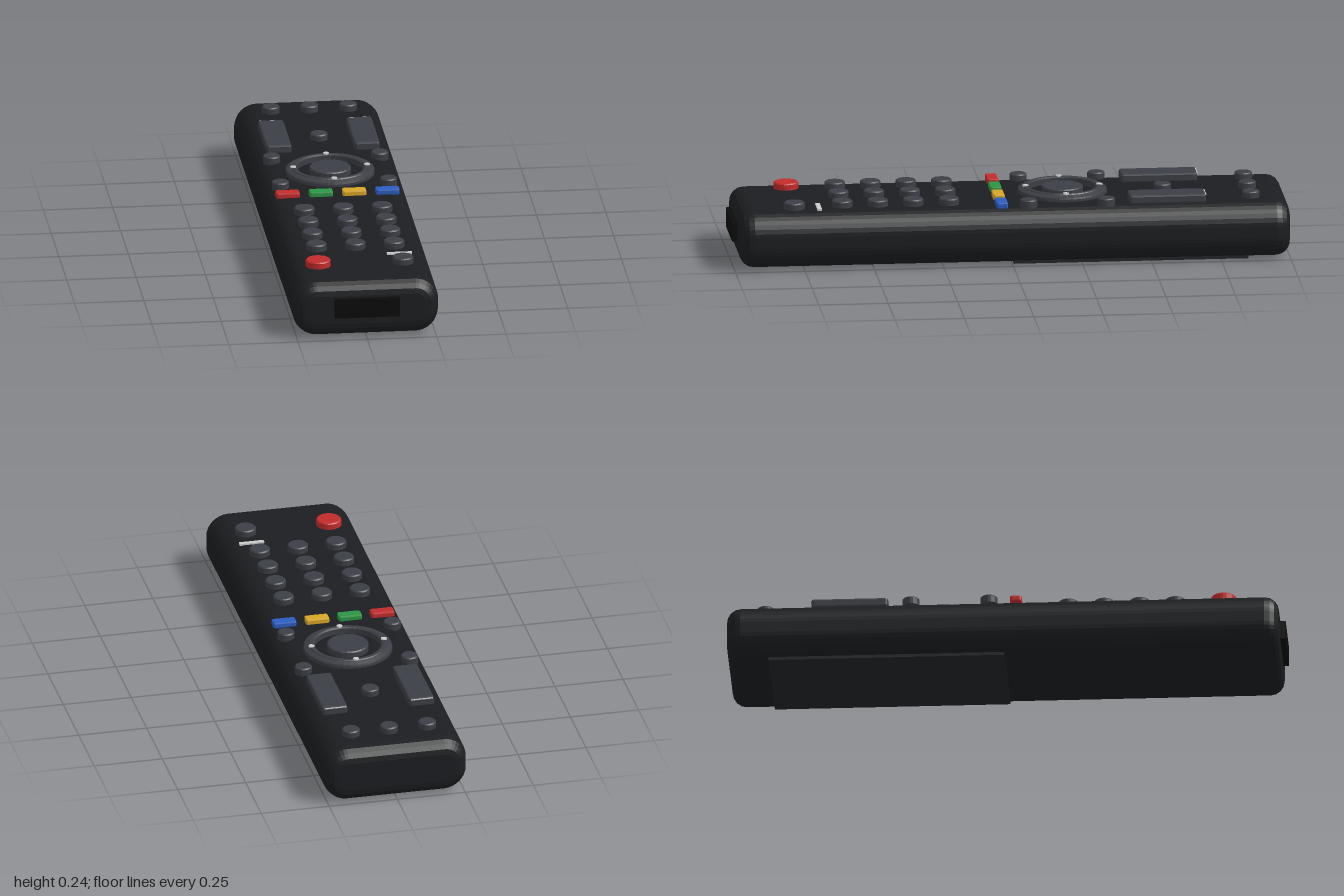
import * as THREE from 'three';

const mat = (color) => new THREE.MeshStandardMaterial({ color });
const BLACK = mat(0x1b1d20), GREY = mat(0x3b3e44), DARK = mat(0x0b0b0c), COVER = mat(0x222428);
const WHITE = mat(0xd0d0d0), RED = mat(0xc12b2b), GREEN = mat(0x2b9444), YELLOW = mat(0xd6a526), BLUE = mat(0x2a5cc0);
const DECK = 0.21; // height of the top face

function roundedRect(w, h, r) {
  const x = w / 2, y = h / 2, s = new THREE.Shape();
  s.absarc(x - r, y - r, r, 0, Math.PI / 2);
  s.absarc(-x + r, y - r, r, Math.PI / 2, Math.PI);
  s.absarc(-x + r, -y + r, r, Math.PI, Math.PI * 1.5);
  s.absarc(x - r, -y + r, r, Math.PI * 1.5, Math.PI * 2);
  return s;
}

export function createModel() {
  const group = new THREE.Group();
  const add = (name, geometry, material, x, y, z) => {
    const mesh = new THREE.Mesh(geometry, material);
    mesh.name = name;
    mesh.position.set(x, y, z);
    group.add(mesh);
    return mesh;
  };
  const box = (name, w, h, d, material, x, y, z) =>
    add(name, new THREE.BoxGeometry(w, h, d), material, x, y, z);

  // Round button with a small chamfer, sitting on the deck
  const button = (name, x, z, r, material = GREY, top = 0.234) => {
    const h = top - DECK + 0.005;
    const profile = [[0, 0], [r, 0], [r, h - 0.004], [r - 0.004, h], [0, h]].map((p) => new THREE.Vector2(...p));
    const geometry = new THREE.LatheGeometry(profile, 24).toNonIndexed();
    geometry.computeVertexNormals();
    add(name, geometry, material, x, DECK - 0.005, z);
  };

  // Bevelled rectangular key: flat outline extruded upwards
  const key = (name, x, z, w, d, top, material, bevel) => {
    const h = top - DECK + 0.004;
    const geometry = new THREE.ExtrudeGeometry(roundedRect(w - 2 * bevel, d - 2 * bevel, 0.004), {
      depth: h - 2 * bevel, bevelSize: bevel, bevelThickness: bevel, bevelSegments: 2, curveSegments: 2,
    });
    geometry.rotateX(-Math.PI / 2);
    add(name, geometry, material, x, DECK - 0.004 + bevel, z);
  };

  // Body: rounded cross-section run along z with rounded ends
  const b = 0.05;
  const body = new THREE.ExtrudeGeometry(roundedRect(0.524 - 2 * b, 0.205 - 2 * b, 0.035), {
    depth: 1.98 - 2 * b, bevelSize: b, bevelThickness: b, bevelSegments: 4, curveSegments: 4,
  });
  body.translate(0, 0, -1 + b);
  add('body', body, BLACK, 0, 0.1075, 0);

  box('infraredWindow', 0.234, 0.069, 0.06, DARK, 0, 0.1175, 0.97);
  box('batteryCover', 0.42, 0.012, 0.845, COVER, 0, 0.006, -0.4275);

  // Top row and single buttons
  for (const x of [-0.14, 0, 0.14]) button('topButton', x, -0.865, 0.032);
  button('middleButton', 0, -0.56, 0.032);

  // Rockers and the four buttons around the navigation ring
  for (const side of [-1, 1]) {
    key('rocker', side * 0.159, -0.56, 0.092, 0.276, 0.24, GREY, 0.007);
    box('rockerMark', 0.08, 0.003, 0.005, WHITE, side * 0.159, 0.236, -0.697);
    for (const z of [-0.34, -0.06]) button('cornerButton', side * 0.195, z, 0.031);
  }

  // Navigation ring with a shallow groove, centre button and four dots
  const ring = [[0.12, 0], [0.12, 0.024], [0.126, 0.028], [0.138, 0.028], [0.141, 0.024],
    [0.145, 0.024], [0.158, 0.018], [0.16, 0.012], [0.16, 0]].map((p) => new THREE.Vector2(...p));
  const ringGeometry = new THREE.LatheGeometry(ring.reverse(), 40).toNonIndexed();
  ringGeometry.computeVertexNormals();
  const ringMaterial = GREY.clone();
  ringMaterial.side = THREE.DoubleSide;
  add('navigationRing', ringGeometry, ringMaterial, 0, DECK - 0.003, -0.2);
  button('centreButton', 0, -0.2, 0.075);
  for (let i = 0; i < 4; i++) {
    const a = i * Math.PI / 2;
    add('ringDot', new THREE.CylinderGeometry(0.011, 0.011, 0.005, 8), WHITE,
      0.133 * Math.cos(a), 0.2355, -0.2 + 0.133 * Math.sin(a));
  }

  // Coloured keys
  [RED, GREEN, YELLOW, BLUE].forEach((material, i) =>
    key('colourKey', -0.18 + i * 0.12, 0.037, 0.086, 0.042, 0.229, material, 0.005));

  // Number pad
  for (let row = 0; row < 4; row++)
    for (const x of [-0.14, 0, 0.14]) button('numberButton', x, 0.222 + row * 0.128, 0.037);

  // Power and source buttons with a light strip
  button('powerButton', -0.153, 0.78, 0.045, RED);
  button('sourceButton', 0.153, 0.78, 0.038);
  box('lightStrip', 0.09, 0.008, 0.016, WHITE, 0.15, DECK + 0.002, 0.692);

  return group;
}
